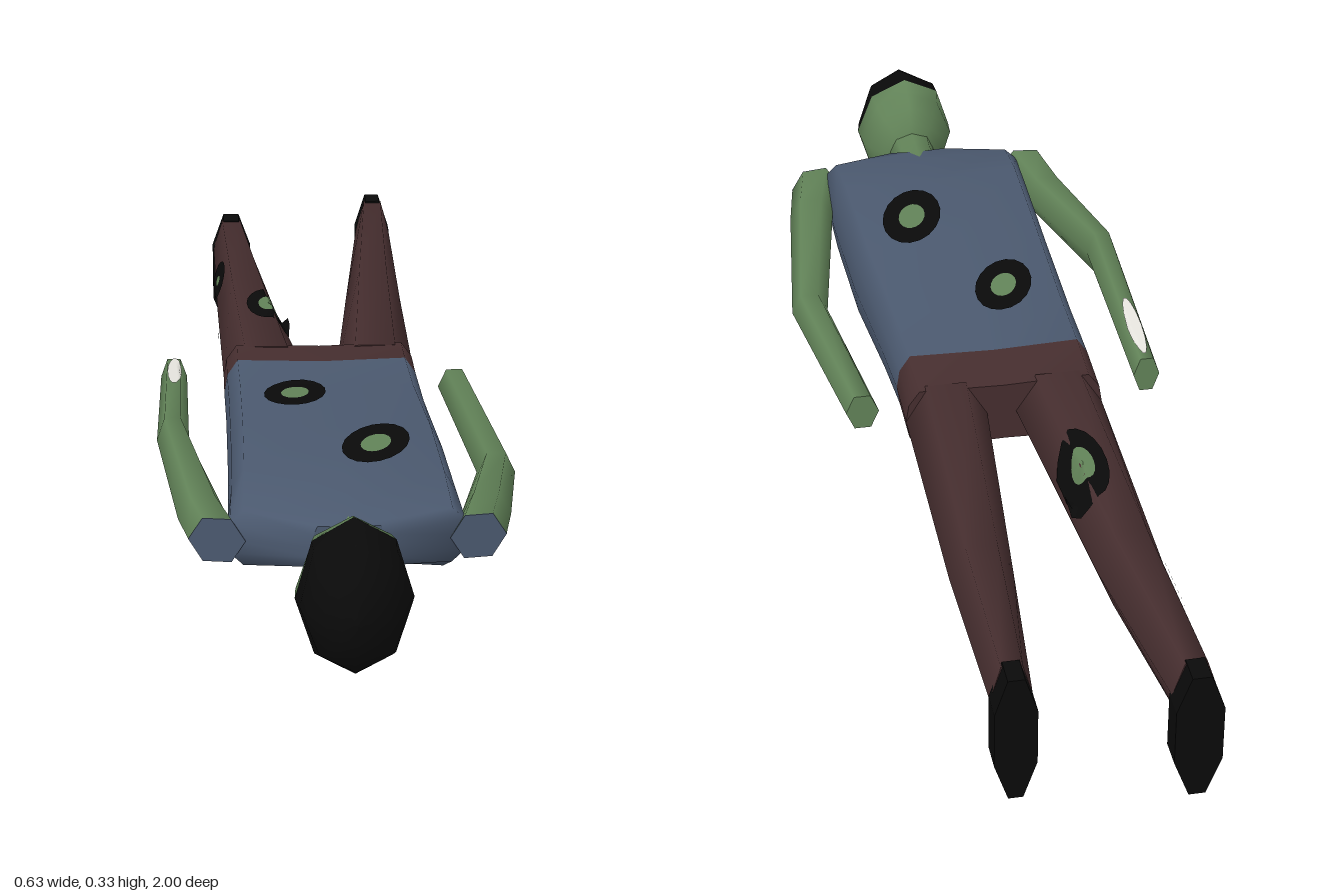
import * as THREE from 'three';

const mat = (name, color) => Object.assign(new THREE.MeshStandardMaterial({ color }), { name });

// Unit cross-sections, counter-clockwise seen from +z
const circle = (n, sy = 1) => Array.from({ length: n }, (_, i) => {
  const a = i / n * Math.PI * 2;
  return [Math.cos(a), Math.sin(a) * sy];
});
const HEX = circle(6, 1 / 0.866), OCT = circle(8);
const CHEST = [[1, 0], [0.97, 0.55], [0.86, 1], [0, 0.93], [-0.86, 1], [-0.97, 0.55],
  [-1, 0], [-0.97, -0.55], [-0.86, -1], [0, -0.93], [0.86, -1], [0.97, -0.55]];

// Section: [z, cx, cy, rx, ry, slope of z over x, slope of y over x]
const ring = (profile, [z, cx, cy, rx, ry, zx = 0, yx = 0]) => profile.map(([u, v]) =>
  new THREE.Vector3(cx + u * rx, cy + v * ry + yx * u * rx, z + zx * u * rx));

// Skin over rings ordered from -z to +z; flat end caps go in material group 1
function loft(rings) {
  const n = rings[0].length, pts = rings.flat(), index = [];
  for (let i = 0; i < rings.length - 1; i++) {
    for (let j = 0; j < n; j++) {
      const a = i * n + j, b = i * n + (j + 1) % n;
      index.push(a, b, b + n, a, b + n, a + n);
    }
  }
  const side = index.length;
  const start = pts.length;
  pts.push(...rings[0], ...rings[rings.length - 1]);
  for (let j = 1; j < n - 1; j++) {
    index.push(start, start + j + 1, start + j);
    index.push(start + n, start + n + j, start + n + j + 1);
  }
  const g = new THREE.BufferGeometry().setFromPoints(pts);
  g.setIndex(index);
  g.addGroup(0, side, 0);
  g.addGroup(side, index.length - side, 1);
  g.computeVertexNormals();
  return g;
}

export function createModel() {
  const model = new THREE.Group();
  model.name = 'lyingFigure';
  const skin = mat('skinGreen', 0x628358);
  const shirt = mat('shirtBlue', 0x4b596f);
  const pants = mat('trouserBrown', 0x462e2f);
  const black = mat('black', 0x0a0a0a);
  const bone = mat('bone', 0xe8e6e0);

  const add = (name, geometry, material) => {
    const m = new THREE.Mesh(geometry, material);
    m.name = name;
    model.add(m);
    return m;
  };
  const body = (name, profile, sections, side, cap = side) =>
    add(name, loft(sections.map(s => ring(profile, s))), [side, cap]);

  // Torso and neck
  const torso = body('torso', CHEST, [
    [-0.04, -0.015, 0.196, 0.18, 0.066],
    [0.1, -0.011, 0.192, 0.182, 0.073, 0, -0.02],
    [0.33, -0.003, 0.188, 0.19, 0.09, 0, -0.04],
    [0.55, 0, 0.196, 0.195, 0.086, 0, -0.04],
    [0.67, 0, 0.212, 0.2, 0.048],
    [0.715, 0, 0.214, 0.06, 0.036]], shirt);
  body('neck', OCT, [
    [0.68, 0, 0.214, 0.055, 0.04],
    [0.74, 0, 0.214, 0.042, 0.038],
    [0.82, 0, 0.21, 0.046, 0.045]], skin);

  // Head: an ellipsoid parted along a slanted hairline
  const headRing = (t, slant) => circle(8).map(([c, s]) => {
    const a = t + slant * s;
    return new THREE.Vector3(0.095 * Math.sin(a) * c, 0.205 + 0.127 * Math.sin(a) * s,
      0.885 + 0.115 * Math.cos(a));
  });
  const HAIRLINE = 1.48, SLANT = 0.25;
  const steps = (from, to, n) => Array.from({ length: n + 1 }, (_, i) => {
    const t = from + (to - from) * i / n;
    return headRing(t, SLANT * Math.sin(t) ** 2);
  });
  add('face', loft(steps(Math.PI - 0.01, HAIRLINE, 5)), [skin, skin]);
  add('hair', loft(steps(HAIRLINE, 0.01, 5)), [black, black]);

  // Hips and legs
  body('hips', CHEST, [
    [-0.145, -0.015, 0.192, 0.18, 0.062],
    [-0.04, -0.015, 0.196, 0.18, 0.066]], pants);
  const rightLeg = body('rightLeg', HEX, [
    [-0.96, -0.17, 0.18, 0.038, 0.06],
    [-0.6, -0.145, 0.163, 0.058, 0.073],
    [-0.13, -0.115, 0.192, 0.08, 0.063]], pants);
  const leftLeg = body('leftLeg', HEX, [
    [-0.96, 0.13, 0.213, 0.035, 0.066],
    [-0.6, 0.112, 0.183, 0.055, 0.063],
    [-0.13, 0.09, 0.192, 0.075, 0.063]], pants);

  // Shoes: flat soles with the toes pointing down
  const sole = new THREE.Shape([[-0.014, 0], [0.014, 0], [0.04, 0.07], [0.04, 0.175],
    [0.016, 0.242], [-0.016, 0.242], [-0.04, 0.175], [-0.04, 0.07]].map(p => new THREE.Vector2(...p)));
  for (const [name, x, y, w] of [['rightShoe', -0.17, 0, 1], ['leftShoe', 0.13, 0.04, 0.88]]) {
    const shoe = add(name, new THREE.ExtrudeGeometry(sole, { depth: 0.05, bevelEnabled: false }), black);
    shoe.position.set(x, y, -1);
    shoe.scale.x = w;
  }

  // Arms, with a shirt-coloured end at each shoulder
  const arm = (name, sx, wrist, elbow) => {
    const sections = [wrist, elbow, [0.57, sx * 0.237, 0.205, 0.042, 0.04],
      [0.675, sx * 0.215, 0.212, 0.047, 0.038, -sx * 0.15]];
    const rings = sections.map(s => ring(HEX, s));
    add(name, loft(rings), [skin, skin]);
    const cap = rings[3].map(p => p.clone().setZ(p.z + 0.002));
    add(name + 'ShoulderCloth', loft([rings[3], cap]), [shirt, shirt]);
  };
  arm('leftArm', 1, [-0.09, 0.236, 0.185, 0.03, 0.034], [0.29, 0.28, 0.166, 0.034, 0.036]);
  arm('rightArm', -1, [-0.1, -0.288, 0.21, 0.024, 0.034], [0.29, -0.288, 0.236, 0.028, 0.042]);
  const forearm = model.getObjectByName('rightArm');

  // Thin patch laid onto a part's surface, facing along `out`
  const caster = new THREE.Raycaster();
  const patch = (name, geometry, material, target, at, out, [ru, rv, turn], lift) => {
    const normal = new THREE.Vector3(...out);
    const q = new THREE.Quaternion().setFromUnitVectors(new THREE.Vector3(0, 0, 1), normal);
    geometry.scale(ru, rv, 1).rotateZ(turn).applyQuaternion(q).translate(...at);
    const pos = geometry.attributes.position, p = new THREE.Vector3();
    for (let i = 0; i < pos.count; i++) {
      p.fromBufferAttribute(pos, i);
      caster.set(p.clone().addScaledVector(normal, 1), normal.clone().negate());
      const hit = caster.intersectObject(target)[0];
      if (hit) p.copy(hit.point);
      p.addScaledVector(normal, lift);
      pos.setXYZ(i, p.x, p.y, p.z);
    }
    geometry.computeVertexNormals();
    add(name, geometry, material);
  };
  const wound = (name, target, at, out, size, open = 0.45) => {
    patch(name + 'Edge', new THREE.RingGeometry(open, 1, 18, 4), black, target, at, out, size, 0.004);
    patch(name + 'Skin', new THREE.RingGeometry(0.001, open, 18, 2), skin, target, at, out, size, 0.004);
  };
  const UP = [0, 1, 0], DOWN = [0, -1, 0], SIDE = [-1, 0, 0];
  wound('lowerBackTear', torso, [-0.07, 0.2, 0.155], UP, [0.052, 0.08, -0.35]);
  wound('upperBackTear', torso, [0.06, 0.2, 0.42], UP, [0.055, 0.097, -0.3]);
  wound('bellyTear', torso, [0.07, 0.2, 0.155], DOWN, [0.052, 0.08, -0.35]);
  wound('chestTear', torso, [-0.06, 0.2, 0.42], DOWN, [0.055, 0.097, -0.3]);
  wound('thighTear', rightLeg, [-0.105, 0.2, -0.4], UP, [0.042, 0.097, 0]);
  wound('outerThighTear', rightLeg, [-0.18, 0.15, -0.4], SIDE, [0.085, 0.03, 0], 0.1);
  wound('calfTear', rightLeg, [-0.18, 0.19, -0.71], SIDE, [0.07, 0.035, 0], 0.25);
  wound('shinTear', leftLeg, [0.125, 0.15, -0.66], DOWN, [0.026, 0.085, 0], 0.1);
  patch('exposedBone', new THREE.RingGeometry(0.001, 1, 14, 3), bone, forearm,
    [-0.286, 0.2, -0.005], UP, [0.013, 0.085, 0], 0.004);

  return model;
}
